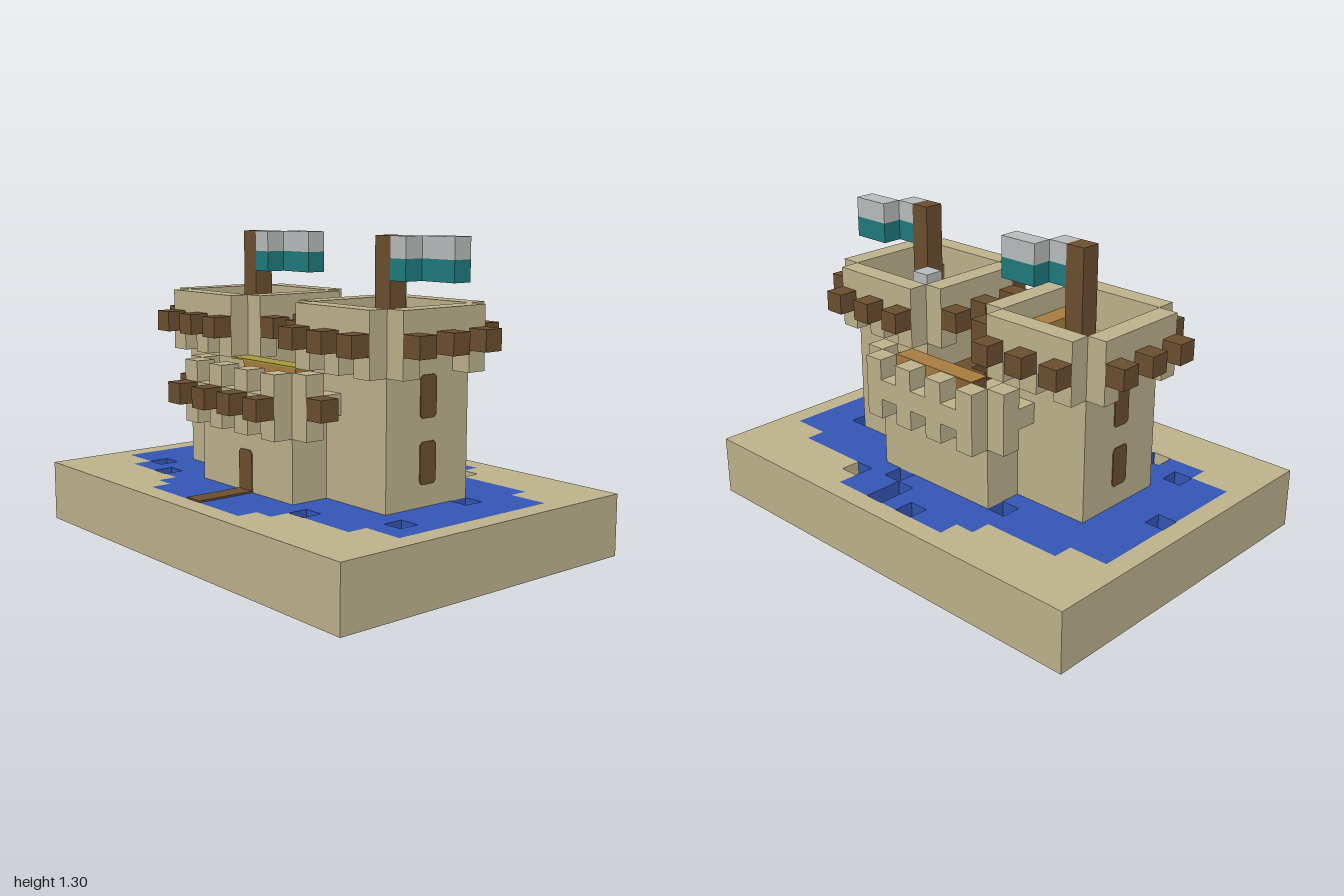
import * as THREE from 'three';

const U = 2 / 23; // one block

function mat(name, color) {
  const m = new THREE.MeshStandardMaterial({ color });
  m.name = name;
  return m;
}

export function createModel() {
  const sand = mat('sand', 0xbdb28c), wood = mat('dark wood', 0x6b4f30), water = mat('water', 0x3355b5);
  const plank = mat('plank', 0xa87c3f), straw = mat('straw', 0xa89a3c), grey = mat('grey', 0xb9bcbc);
  const teal = mat('teal', 0x207a7c), mauve = mat('mauve', 0x9990a8);

  const root = new THREE.Group();
  root.name = 'castle';
  const group = (name, parent = root) => {
    const g = new THREE.Group();
    g.name = name;
    parent.add(g);
    return g;
  };
  // Box over block columns x0..x1 and z0..z1 (inclusive), heights y0 to y1
  const box = (g, name, m, x0, x1, y0, y1, z0, z1) => {
    const w = x1 - x0 + 1, h = y1 - y0, d = z1 - z0 + 1;
    const mesh = new THREE.Mesh(new THREE.BoxGeometry(w * U, h * U, d * U), m);
    mesh.position.set((x0 + x1) / 2 * U, (y0 + y1) / 2 * U, (z0 + z1) / 2 * U);
    mesh.name = name;
    g.add(mesh);
    return mesh;
  };
  const cube = (g, name, m, x, y, z) => box(g, name, m, x, x, y, y + 1, z, z);
  // Thin painted panel with clipped corners
  const panelShape = (w, h) => {
    const c = 0.012, a = w / 2, b = h / 2, s = new THREE.Shape();
    [[-a + c, -b], [a - c, -b], [a, -b + c], [a, b - c], [a - c, b], [-a + c, b], [-a, b - c], [-a, -b + c]]
      .forEach(([x, y], i) => (i ? s.lineTo(x, y) : s.moveTo(x, y)));
    return s;
  };
  const panel = (g, name, w, h, x, y, z, rx = 0, ry = 0) => {
    const geo = new THREE.ExtrudeGeometry(panelShape(w * U, h * U), { depth: 0.008, bevelEnabled: false });
    geo.translate(0, 0, -0.004);
    const mesh = new THREE.Mesh(geo, wood);
    mesh.position.set(x * U, y * U, z * U);
    mesh.rotation.set(rx, ry, 0);
    mesh.name = name;
    g.add(mesh);
  };

  // Ground slab and moat layer with one-block pits
  const ground = group('ground');
  box(ground, 'slab', sand, -8, 8, 0, 2, -11, 11);
  const pits = new Set(['-5,-6', '-5,5', '-4,-8', '0,-10', '-3,9', '7,-1', '6,1', '7,1', '6,4', '5,2', '4,-4', '2,8']);
  const moatHalf = (k) => (k > 10 ? -1 : k > 8 ? 4 : k > 4 ? 5 : k > 3 ? 6 : 7);
  for (let z = -11; z <= 11; z++) {
    const half = moatHalf(Math.abs(z));
    const kind = (x) => (Math.abs(x) > half ? 'bank' : pits.has(`${x},${z}`) ? 'pit' : 'moat');
    for (let x = -8, start = -8; x <= 8; x++) {
      if (x < 8 && kind(x + 1) === kind(x)) continue;
      if (kind(x) !== 'pit') box(ground, kind(x), kind(x) === 'bank' ? sand : water, start, x, 2, 3, z, z);
      start = x + 1;
    }
  }

  // Central keep with overhanging battlement
  const keep = group('keep');
  box(keep, 'keepBody', sand, -4, 4, 3, 7, -3, 3);
  for (const s of [-1, 1]) {
    for (let z = -3; z <= 3; z++) {
      const low = z % 2 === 0;
      box(keep, low ? 'crenel' : 'merlon', sand, 5 * s, 5 * s, low ? 7 : 6, low ? 8 : 9, z, z);
    }
    for (const t of [-1, 1]) {
      box(keep, 'merlon', sand, 4 * s, 4 * s, 6, 9, 4 * t, 4 * t);
      box(keep, 'crenel', sand, 3 * s, 3 * s, 7, 8, 4 * t, 4 * t);
    }
  }
  for (const z of [-3, -1, 1, 3]) cube(keep, 'beamEnd', wood, -6, 7, z);
  for (const z of [-5, 5]) cube(keep, 'beamEnd', wood, -4, 7, z);
  panel(keep, 'sideDoor', 1, 2, -4.5, 4, 0, 0, Math.PI / 2);
  box(keep, 'footbridge', wood, -7, -5, 3, 3.08, 0, 0);

  // Walkway fittings
  const walk = group('walkway');
  box(walk, 'rightBench', plank, 4, 4, 8, 8.97, -1, 2);
  box(walk, 'rightBenchTop', plank, 4, 4, 8.97, 9.03, -2, 2);
  box(walk, 'leftBench', plank, -3, -3, 8, 8.97, -1, 2);
  box(walk, 'strawTop', straw, -3, -3, 8.97, 9.05, -2, 2);
  box(walk, 'leftBoards', plank, -4, -4, 7, 7.9, -2, -1);
  box(walk, 'leftStep', wood, -4, -4, 7, 7.9, 0, 1);
  cube(walk, 'leftBoards', plank, -4, 7, 2);
  box(walk, 'strawMat', straw, -1, -1, 7, 7.1, -1, 1);
  cube(walk, 'courtStep', wood, -2, 7, 0);
  box(walk, 'courtStep', wood, 0, 2, 7, 8, 1, 1);
  cube(walk, 'courtStep', wood, 2, 7, 0);

  // Two towers; s is the end they stand on
  for (const s of [1, -1]) {
    const t = group(s > 0 ? 'frontTower' : 'backTower');
    const c = 5 * s;
    box(t, 'towerBody', sand, -2, 2, 3, 10, c - 2, c + 2);
    for (const e of [-1, 1]) {
      box(t, 'sideParapet', sand, 3 * e, 3 * e, 10, 12, c - 2, c + 2);
      box(t, 'endParapet', sand, -2, 2, 10, 12, c + 3 * e, c + 3 * e);
      for (const o of [-2, 0, 2]) {
        cube(t, 'corbel', sand, 3 * e, 9, c + o);
        if (o) cube(t, 'corbel', sand, o, 9, c + 3 * e);
        cube(t, 'beamEnd', wood, 4 * e, 10, c + o);
        cube(t, 'beamEnd', wood, o, 10, c + 4 * e);
      }
    }
    // Slit windows and floor hatch
    panel(t, 'lowerWindow', 0.98, 1.95, 0, 5, 7.5 * s);
    panel(t, 'upperWindow', 0.98, 1.95, 0, 8, 7.5 * s);
    panel(t, 'hatch', 0.9, 0.9, -1, 10, 6 * s, Math.PI / 2);
    // Furniture on the tower floor
    box(t, 'bench', plank, -2, 0, 10, 11, 3 * s, 3 * s);
    cube(t, 'chest', plank, -2, 10, 7 * s);
    // Flagpole and two-band flag, both flying to the front
    box(t, 'flagpole', wood, 0, 0, 10, 15, c, c);
    for (const [x, dz, n] of [[0, 1, 1], [1, 2, 2]]) {
      box(t, 'flagLower', teal, x, x, 13, 14, c + dz, c + dz + n - 1);
      box(t, 'flagUpper', grey, x, x, 14, 15, c + dz, c + dz + n - 1);
    }
    if (s > 0) {
      cube(t, 'postBase', mauve, 1, 10, 4);
      cube(t, 'postTop', grey, 1, 11, 4);
      cube(t, 'crate', mauve, 1, 10, 6);
    } else cube(t, 'stool', wood, 0, 10, -7);
  }
  return root;
}
